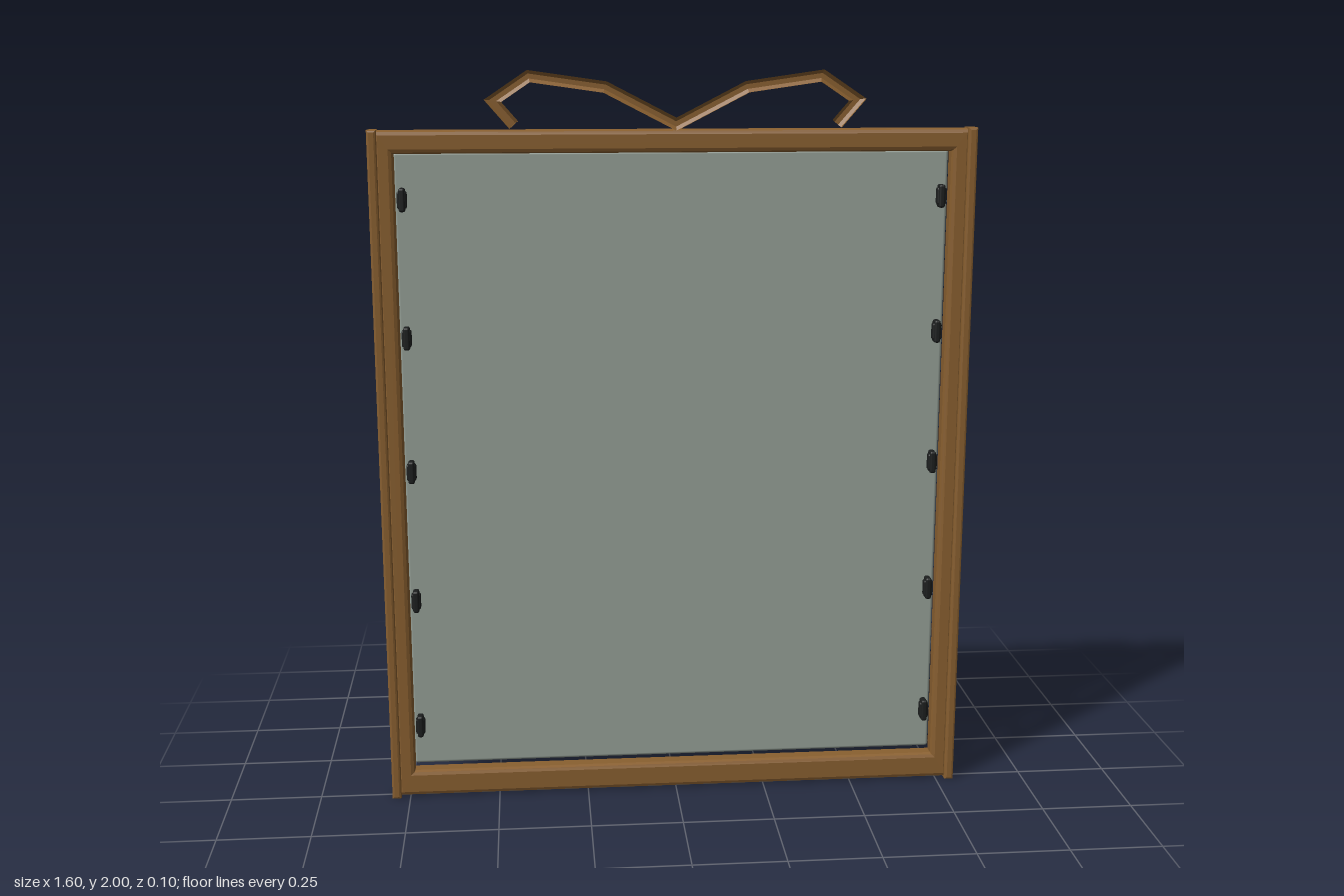
import * as THREE from 'three';
import { RoundedBoxGeometry } from 'three/addons/geometries/RoundedBoxGeometry.js';

const wood = new THREE.MeshStandardMaterial({ color: 0x8a6030 });
wood.name = 'brownWood';
const board = new THREE.MeshStandardMaterial({ color: 0x96a198 });
board.name = 'greyGreenPanel';
const metal = new THREE.MeshStandardMaterial({ color: 0x1c1e1e });
metal.name = 'blackMetal';

const HEIGHT = 1.85;

function add(parent, name, geometry, material, x = 0, y = 0, z = 0) {
  const mesh = new THREE.Mesh(geometry, material);
  mesh.name = name;
  mesh.position.set(x, y, z);
  parent.add(mesh);
  return mesh;
}

function rectangle(target, x, y0, y1) {
  target.moveTo(-x, y0);
  target.lineTo(x, y0);
  target.lineTo(x, y1);
  target.lineTo(-x, y1);
  target.closePath();
  return target;
}

// Extrusion from z0 to z1 whose bevels stay inside the outline
function bevelled(shape, z0, z1, bevel) {
  const geometry = new THREE.ExtrudeGeometry(shape, {
    depth: z1 - z0 - 2 * bevel,
    bevelEnabled: true,
    bevelSize: bevel,
    bevelThickness: bevel,
    bevelOffset: -bevel,
    bevelSegments: 2,
  });
  return geometry.translate(0, 0, z0 + bevel);
}

// Mitred sweep of an octagon along a flat zigzag path
function mitredBar(points, radius, sides = 8) {
  const positions = [];
  const indices = [];
  const last = points.length - 1;
  points.forEach((p, i) => {
    const before = p.clone().sub(points[Math.max(i - 1, 0)]).normalize();
    const after = points[Math.min(i + 1, last)].clone().sub(p).normalize();
    const along = before.clone().add(after).normalize();
    const stretch = 1 / along.dot(i < last ? after : before);
    for (let s = 0; s < sides; s++) {
      const a = ((s + 0.5) / sides) * Math.PI * 2;
      const side = Math.cos(a) * radius * stretch;
      positions.push(p.x - along.y * side, p.y + along.x * side, Math.sin(a) * radius);
      if (i < last) {
        const b = i * sides + s;
        const c = i * sides + ((s + 1) % sides);
        indices.push(b, b + sides, c, c, b + sides, c + sides);
      }
    }
  });
  // End caps
  for (let s = 1; s < sides - 1; s++) {
    const e = last * sides;
    indices.push(0, s, s + 1, e, e + s + 1, e + s);
  }
  const indexed = new THREE.BufferGeometry();
  indexed.setAttribute('position', new THREE.Float32BufferAttribute(positions, 3));
  indexed.setIndex(indices);
  const geometry = indexed.toNonIndexed();
  geometry.computeVertexNormals();
  return geometry;
}

export function createModel() {
  const model = new THREE.Group();
  model.name = 'framedBoard';

  // Rails and stiles as one bevelled surround
  const surround = rectangle(new THREE.Shape(), 0.785, 0.002, HEIGHT - 0.002);
  surround.holes.push(rectangle(new THREE.Path(), 0.735, 0.075, 1.788));
  add(model, 'frame', bevelled(surround, -0.034, 0.021, 0.012), wood);

  // Raised strips down both outer edges
  for (const side of [1, -1]) {
    const strip = rectangle(new THREE.Shape(), 0.0125, 0, HEIGHT);
    add(model, side > 0 ? 'leftEdgeStrip' : 'rightEdgeStrip',
      bevelled(strip, -0.024, 0.035, 0.006), wood, side * 0.7875);
  }

  // Panel behind the frame
  add(model, 'panel', new RoundedBoxGeometry(1.478, 1.714, 0.018, 2, 0.008),
    board, 0, 0.932, -0.046);

  // Retaining clips along both sides
  for (const side of [1, -1]) {
    for (let i = 0; i < 5; i++) {
      const clip = new THREE.Group();
      clip.name = 'clip';
      clip.position.set(side * 0.718, 0.197 + i * 0.3675, -0.019);
      add(clip, 'clipBody', new RoundedBoxGeometry(0.017, 0.062, 0.034, 2, 0.006), metal);
      add(clip, 'clipFoot', new RoundedBoxGeometry(0.026, 0.046, 0.024, 2, 0.006), metal);
      model.add(clip);
    }
  }

  // Ribbon-shaped crest on the top rail
  const half = [[0.422, 1.862], [0.475, 1.923], [0.382, 1.985], [0.185, 1.957]];
  const path = [
    ...half.map(([x, y]) => new THREE.Vector2(-x, y)),
    new THREE.Vector2(0, 1.862),
    ...half.slice().reverse().map(([x, y]) => new THREE.Vector2(x, y)),
  ];
  add(model, 'crest', mitredBar(path, 0.016), wood, 0, 0, 0.034);

  return model;
}
